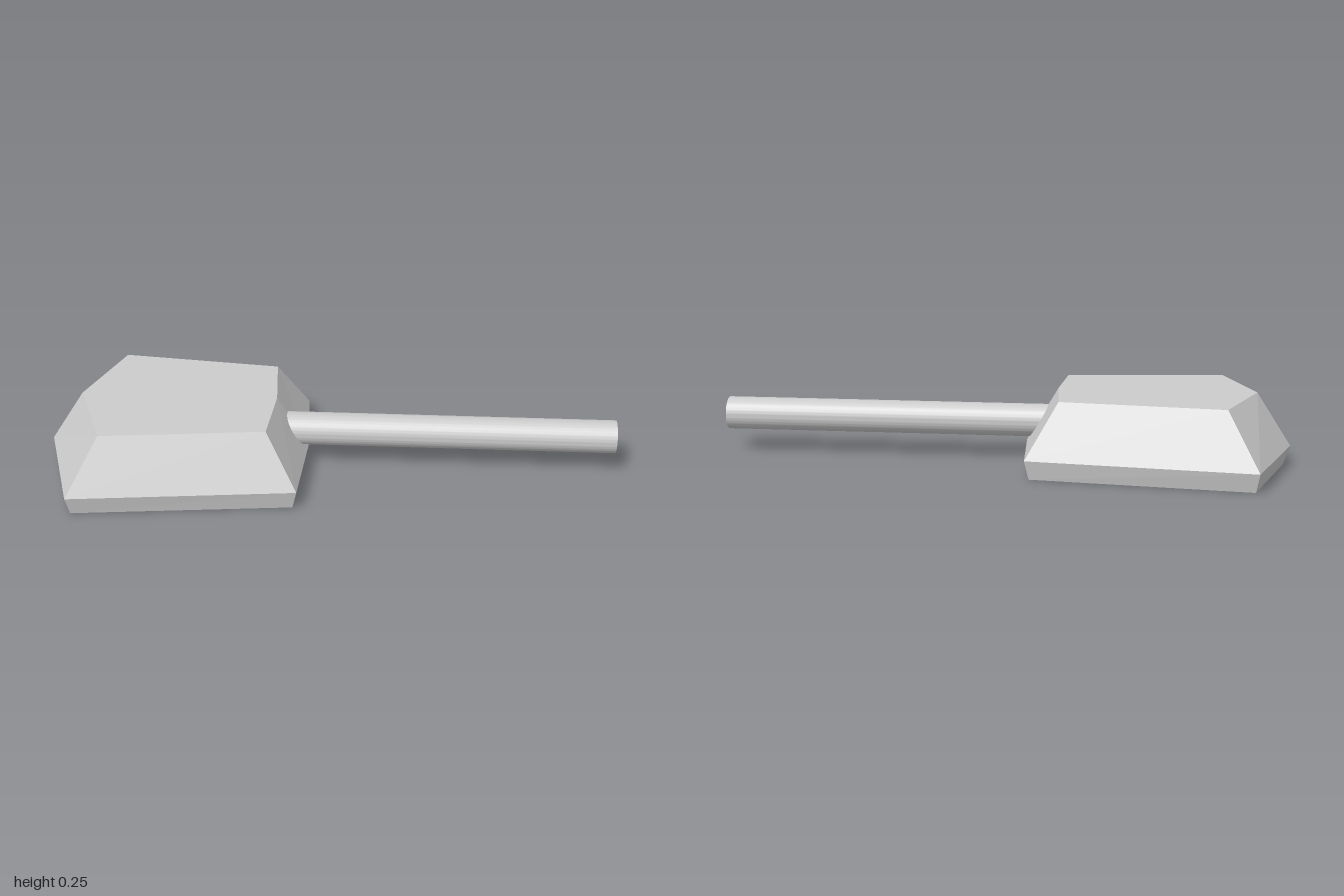
import * as THREE from 'three';
import { toCreasedNormals } from 'three/addons/utils/BufferGeometryUtils.js';

// Six-cornered outline, counter-clockwise from above, from its +x nose to its -x point
function ring(y, noseX, frontX, frontZ, rearX, rearZ, tailX) {
  return [
    [noseX, y, 0], [frontX, y, -frontZ], [rearX, y, -rearZ],
    [tailX, y, 0], [rearX, y, rearZ], [frontX, y, frontZ],
  ];
}

// Faceted solid through stacked outlines, capped at both ends
function loft(rings) {
  const pos = [];
  const tri = (a, b, c) => pos.push(...a, ...b, ...c);
  const n = rings[0].length;
  for (let r = 0; r < rings.length - 1; r++) {
    const lo = rings[r], hi = rings[r + 1];
    for (let i = 0; i < n; i++) {
      const j = (i + 1) % n;
      tri(lo[i], lo[j], hi[j]);
      tri(lo[i], hi[j], hi[i]);
    }
  }
  const bottom = rings[0], top = rings[rings.length - 1];
  for (let i = 1; i < n - 1; i++) {
    tri(top[0], top[i], top[i + 1]);
    tri(bottom[0], bottom[i + 1], bottom[i]);
  }
  const geo = new THREE.BufferGeometry();
  geo.setAttribute('position', new THREE.Float32BufferAttribute(pos, 3));
  geo.computeVertexNormals();
  return geo;
}

export function createModel() {
  const group = new THREE.Group();
  group.name = 'turret';

  // Armoured body: short undercut skirt, then sloped walls to a flat roof
  const body = new THREE.Mesh(
    loft([
      ring(0, -0.097, -0.115, 0.309, -0.865, 0.388, -0.978),
      ring(0.066, -0.08, -0.1, 0.32, -0.876, 0.404, -1),
      ring(0.253, -0.19, -0.208, 0.235, -0.77, 0.296, -0.88),
    ]),
    new THREE.MeshStandardMaterial({ color: 0xcccccc, flatShading: true })
  );
  body.name = 'turretBody';
  group.add(body);

  // Gun barrel: hollow tube running out of the sloped front
  const startX = -0.17;
  const section = new THREE.Shape().absarc(0, 0, 0.058, 0, Math.PI * 2, false);
  section.holes.push(new THREE.Path().absarc(0, 0, 0.038, 0, Math.PI * 2, true));
  const tube = new THREE.ExtrudeGeometry(section, {
    depth: 1 - startX, bevelEnabled: false, curveSegments: 32,
  });
  tube.rotateY(Math.PI / 2);
  const barrel = new THREE.Mesh(
    toCreasedNormals(tube, 0.6),
    new THREE.MeshStandardMaterial({ color: 0xcccccc })
  );
  barrel.name = 'gunBarrel';
  barrel.position.set(startX, 0.135, 0);
  group.add(barrel);

  return group;
}
